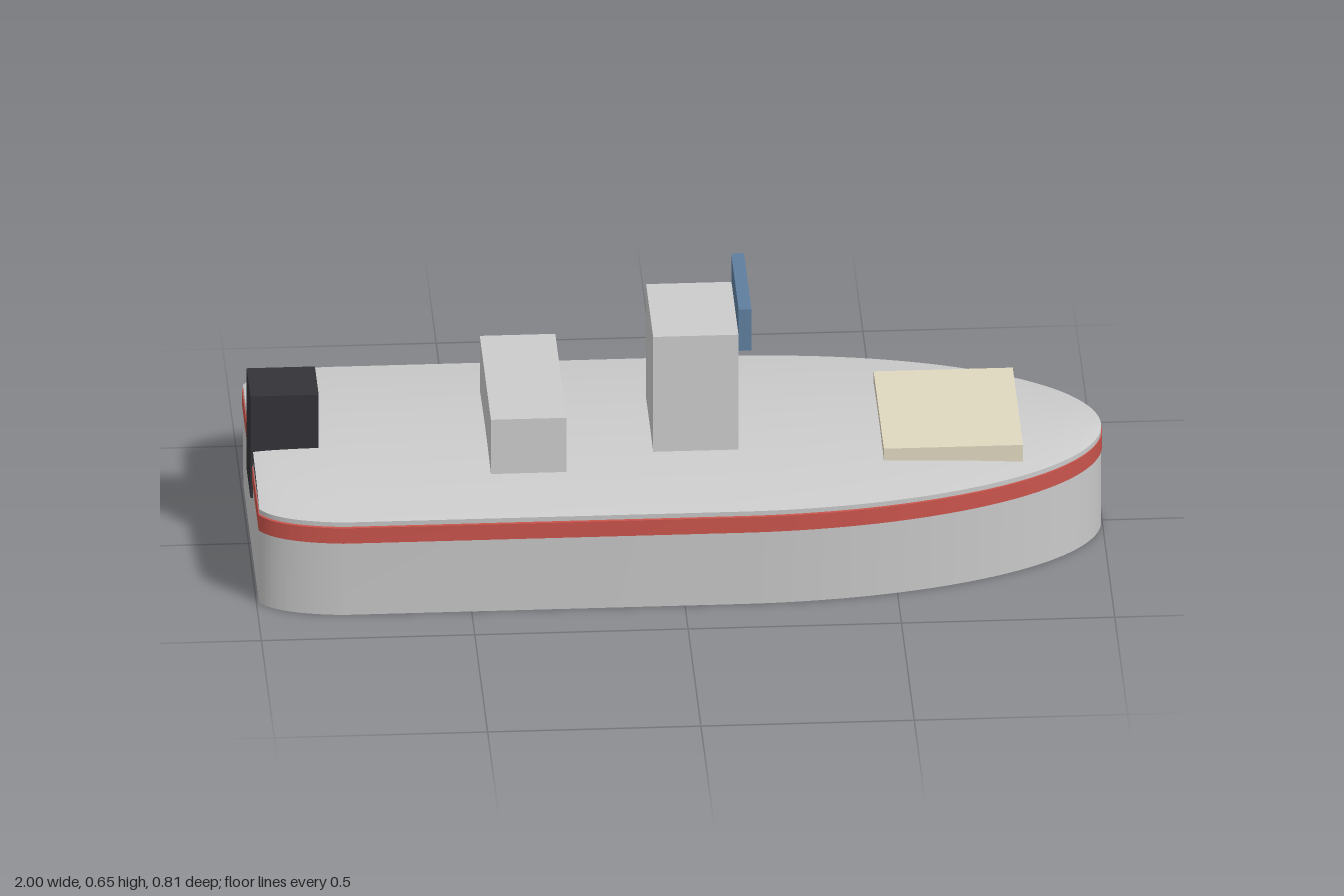
import * as THREE from 'three';
import { toCreasedNormals } from 'three/addons/utils/BufferGeometryUtils.js';

const material = (color) => new THREE.MeshStandardMaterial({ color, side: THREE.DoubleSide });
const grey = material(0xcccccc);

// Half plan of the boat, stern corner to bow tip: point.x = x, point.y = half width
const plan = new THREE.Path();
plan.moveTo(-0.994, 0.32);
plan.quadraticCurveTo(-0.955, 0.385, -0.8, 0.4);
plan.lineTo(0.13, 0.4);
plan.absellipse(0.13, 0, 0.868, 0.4, Math.PI / 2, 0, true);
const half = plan.getPoints(24);
half[half.length - 1].y = 0;

// Closed outline, running round the bow and back across the transom
const outline = [
  ...half,
  ...half.slice(0, -1).reverse().map((p) => new THREE.Vector2(p.x, -p.y)),
  half[0].clone(),
];

// Surface through a grid of points given by at(i, j)
function surface(rows, cols, at) {
  const positions = [];
  const index = [];
  for (let i = 0; i < rows; i++) {
    for (let j = 0; j < cols; j++) {
      positions.push(...at(i, j));
      if (i < rows - 1 && j < cols - 1) {
        const a = i * cols + j;
        const b = a + cols;
        index.push(a, b, b + 1, a, b + 1, a + 1);
      }
    }
  }
  const geometry = new THREE.BufferGeometry();
  geometry.setAttribute('position', new THREE.Float32BufferAttribute(positions, 3));
  geometry.setIndex(index);
  return toCreasedNormals(geometry, 0.5);
}

// Wall following the outline; profile entries are [width scale, height, length scale]
const wall = (profile) =>
  surface(outline.length, profile.length, (i, j) => {
    const [width, y, length] = profile[j];
    return [outline[i].x * length, y, outline[i].y * width];
  });

export function createModel() {
  const boat = new THREE.Group();
  boat.name = 'boat';

  const add = (name, geometry, mat) => {
    const mesh = new THREE.Mesh(geometry, mat);
    mesh.name = name;
    boat.add(mesh);
  };
  // Box centred on z = 0, given by its x and y limits and half width
  const addBox = (name, x0, x1, y0, y1, halfWidth, mat) => {
    const geometry = new THREE.BoxGeometry(x1 - x0, y1 - y0, halfWidth * 2);
    geometry.translate((x0 + x1) / 2, (y0 + y1) / 2, 0);
    add(name, geometry, mat);
  };

  // Hull sides and transom, open underneath
  add('hull', wall([[0.95, 0, 1], [0.995, 0.253, 1]]), grey);

  // Rubbing strake around the hull
  add('rubRail', wall([
    [0.98, 0.2, 0.999], [1.013, 0.2, 1.002], [1.013, 0.24, 1.002], [0.98, 0.24, 0.999],
  ]), material(0xc9544c));

  // Cambered deck, its crown falling as the boat narrows
  const steps = 24;
  add('deck', surface(half.length, steps + 1, (i, j) => {
    const t = 1 - (2 * j) / steps;
    const { x, y: width } = half[i];
    return [x, 0.253 + 0.08 * width * (1 - t * t), width * t];
  }), grey);

  // Deck fittings
  addBox('seat', -0.445, -0.268, 0.262, 0.418, 0.216, grey);
  addBox('console', -0.06, 0.14, 0.262, 0.583, 0.136, grey);
  addBox('windscreen', 0.14, 0.17, 0.545, 0.653, 0.145, material(0x5f7f9f));
  addBox('bowCushion', 0.477, 0.803, 0.262, 0.305, 0.199, material(0xe0d8c0));
  addBox('outboardMotor', -1, -0.84, 0.157, 0.423, 0.073, material(0x333338));

  return boat;
}
